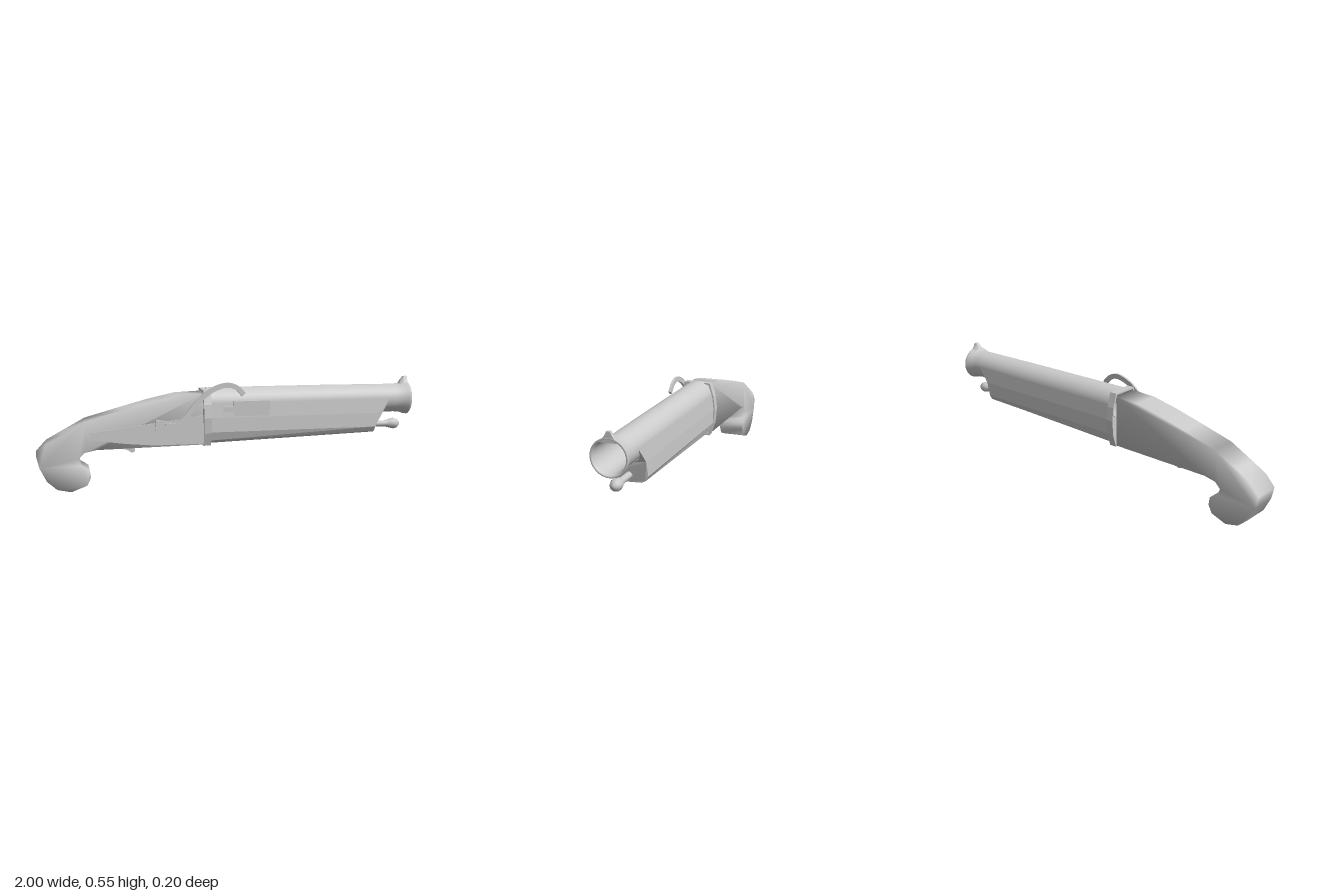
import * as THREE from 'three';
import { mergeVertices } from 'three/addons/utils/BufferGeometryUtils.js';

const CZ = 0.004; // centre plane of the body
const toShape = pts => new THREE.Shape(pts.map(([a, b]) => new THREE.Vector2(a, b)));
const mirrored = half => [...half, ...half.map(([u, v]) => [-u, v]).reverse()];

function extrude(shape, depth, steps = 1) {
  return new THREE.ExtrudeGeometry(shape, { depth, steps, bevelEnabled: false });
}

// Side outline in x, y extruded from z0 to z1
function slab(pts, z0, z1) {
  return extrude(toShape(pts), z1 - z0).translate(0, 0, z0);
}

// Cross-section in z, y extruded along x
function alongX(shape, x0, x1, steps) {
  return extrude(shape, x1 - x0, steps).rotateY(Math.PI / 2).translate(x0, 0, CZ);
}

// Profile of [x, radius] turned around an axis parallel to x
function turned(profile, y, segments) {
  const pts = profile.map(([x, r]) => new THREE.Vector2(r, x));
  return new THREE.LatheGeometry(pts, segments).rotateZ(-Math.PI / 2).translate(0, y, CZ);
}

function smooth(geo) {
  geo.deleteAttribute('uv');
  geo.deleteAttribute('normal');
  const merged = mergeVertices(geo, 1e-4);
  merged.computeVertexNormals();
  return merged;
}

export function createModel() {
  const group = new THREE.Group();
  const grey = new THREE.MeshStandardMaterial({ color: 0xcccccc });
  const open = new THREE.MeshStandardMaterial({ color: 0xcccccc, side: THREE.DoubleSide });
  const add = (name, geo, mat = grey) => {
    const mesh = new THREE.Mesh(geo, mat);
    mesh.name = name;
    group.add(mesh);
  };

  // Curved grip with a hooked butt, flat-sided but softly shaded
  add('grip', smooth(slab([
    [-0.15, 0.22], [-0.15, 0.485], [-0.28, 0.48], [-0.42, 0.45], [-0.57, 0.41], [-0.75, 0.36],
    [-0.87, 0.295], [-0.95, 0.25], [-1, 0.195], [-0.985, 0.13], [-0.95, 0.06], [-0.9, 0.015],
    [-0.83, 0], [-0.75, 0.03], [-0.73, 0.07], [-0.735, 0.11], [-0.775, 0.135], [-0.79, 0.17],
    [-0.76, 0.2], [-0.7, 0.213],
  ], -0.066, 0.075)));

  // Open barrel with a flared, rolled muzzle
  add('barrel', turned([
    [-0.12, 0.082], [0.5, 0.08], [0.92, 0.076], [0.96, 0.08], [0.985, 0.089], [0.997, 0.09],
    [1, 0.086], [0.997, 0.08], [0.98, 0.077], [0.9, 0.073], [-0.12, 0.078],
  ], 0.428, 32), open);

  // Front sight: ridge that swells out of the muzzle top
  const sight = alongX(toShape(mirrored([
    [0.045, 0.495], [0.03, 0.51], [0.017, 0.528], [0.009, 0.545],
  ])), 0.945, 0.998, 3);
  const sp = sight.attributes.position;
  for (let i = 0; i < sp.count; i++) {
    const t = Math.min(1, (sp.getX(i) - 0.945) / 0.03);
    sp.setY(i, 0.495 + (sp.getY(i) - 0.495) * t);
  }
  sight.computeVertexNormals();
  add('frontSight', sight);

  // Forestock: faceted trough round the barrel, rising and cut back at the nose
  const outer = [[0, 0.22], [0.058, 0.225], [0.076, 0.24], [0.091, 0.285], [0.09, 0.36], [0.084, 0.435]];
  const trough = [0, 0.4, 0.8, 1.2].map(a => [0.081 * Math.cos(a), 0.428 - 0.081 * Math.sin(a)]);
  const half = [...outer, ...trough, [0, 0.347]];
  const stock = alongX(toShape([...half, ...half.slice(1, -1).map(([u, v]) => [-u, v]).reverse()]), 0, 1);
  const p = stock.attributes.position;
  for (let i = 0; i < p.count; i++) {
    const front = p.getX(i) > 0.5;
    const y = p.getY(i);
    const nose = y > 0.35 ? 0.8 + (y - 0.35) * 0.85 : 0.79;
    p.setX(i, front ? nose : -0.12);
    if (front && y < 0.29) p.setY(i, 0.25 + (y - 0.22) * 0.55);
  }
  stock.computeVertexNormals();
  add('forestock', stock);

  // Ramrod with a faceted knob
  add('ramrod', turned([
    [0.7, 0], [0.7, 0.017], [0.88, 0.017], [0.905, 0.025], [0.93, 0.03], [0.95, 0.024], [0.962, 0.01], [0.964, 0],
  ], 0.285, 10));

  // Band where grip and forestock meet
  const ring = [[0.07, 0.213], [0.092, 0.28], [0.1, 0.36], [0.092, 0.43], [0.07, 0.502]];
  const band = toShape(mirrored(ring));
  const hole = mirrored(ring.map(([u, v]) => [u - 0.007, 0.358 + (v - 0.358) * 0.94]));
  band.holes.push(new THREE.Path(hole.map(([u, v]) => new THREE.Vector2(u, v))));
  add('band', alongX(band, -0.147, -0.108));

  // Lock plate on the grip's side
  add('lockPlate', slab([
    [-0.73, 0.265], [-0.55, 0.24], [-0.4, 0.226], [-0.147, 0.226], [-0.147, 0.375],
    [-0.3, 0.353], [-0.5, 0.33], [-0.73, 0.302],
  ], 0.07, 0.082));

  // Hammer: pivot block and S-curved arm of even width
  add('hammerPivot', slab([
    [-0.4, 0.302], [-0.345, 0.297], [-0.34, 0.35], [-0.395, 0.36],
  ], 0.078, 0.095));
  const curve = new THREE.CatmullRomCurve3([
    [-0.35, 0.33], [-0.3, 0.325], [-0.25, 0.36], [-0.18, 0.445], [-0.1, 0.508],
    [-0.02, 0.53], [0.03, 0.512], [0.062, 0.477],
  ].map(([x, y]) => new THREE.Vector3(x, y, 0)));
  const upper = [], lower = [];
  for (let i = 0; i <= 24; i++) {
    const c = curve.getPointAt(i / 24), t = curve.getTangentAt(i / 24);
    upper.push([c.x - t.y * 0.013, c.y + t.x * 0.013]);
    lower.unshift([c.x + t.y * 0.013, c.y - t.x * 0.013]);
  }
  add('hammerArm', slab([...lower, ...upper], 0.087, 0.099));

  // Flash pan block and its small tab
  const box = (x0, x1, y0, y1, z0, z1) => new THREE.BoxGeometry(x1 - x0, y1 - y0, z1 - z0)
    .translate((x0 + x1) / 2, (y0 + y1) / 2, (z0 + z1) / 2);
  add('pan', box(0.01, 0.2, 0.367, 0.445, 0.07, 0.101));
  add('panTab', box(-0.045, 0.01, 0.39, 0.42, 0.07, 0.099));

  // Trigger
  add('trigger', slab([
    [-0.59, 0.225], [-0.59, 0.203], [-0.545, 0.198], [-0.515, 0.18], [-0.5, 0.182], [-0.495, 0.225],
  ], -0.012, 0.011));

  return group;
}
